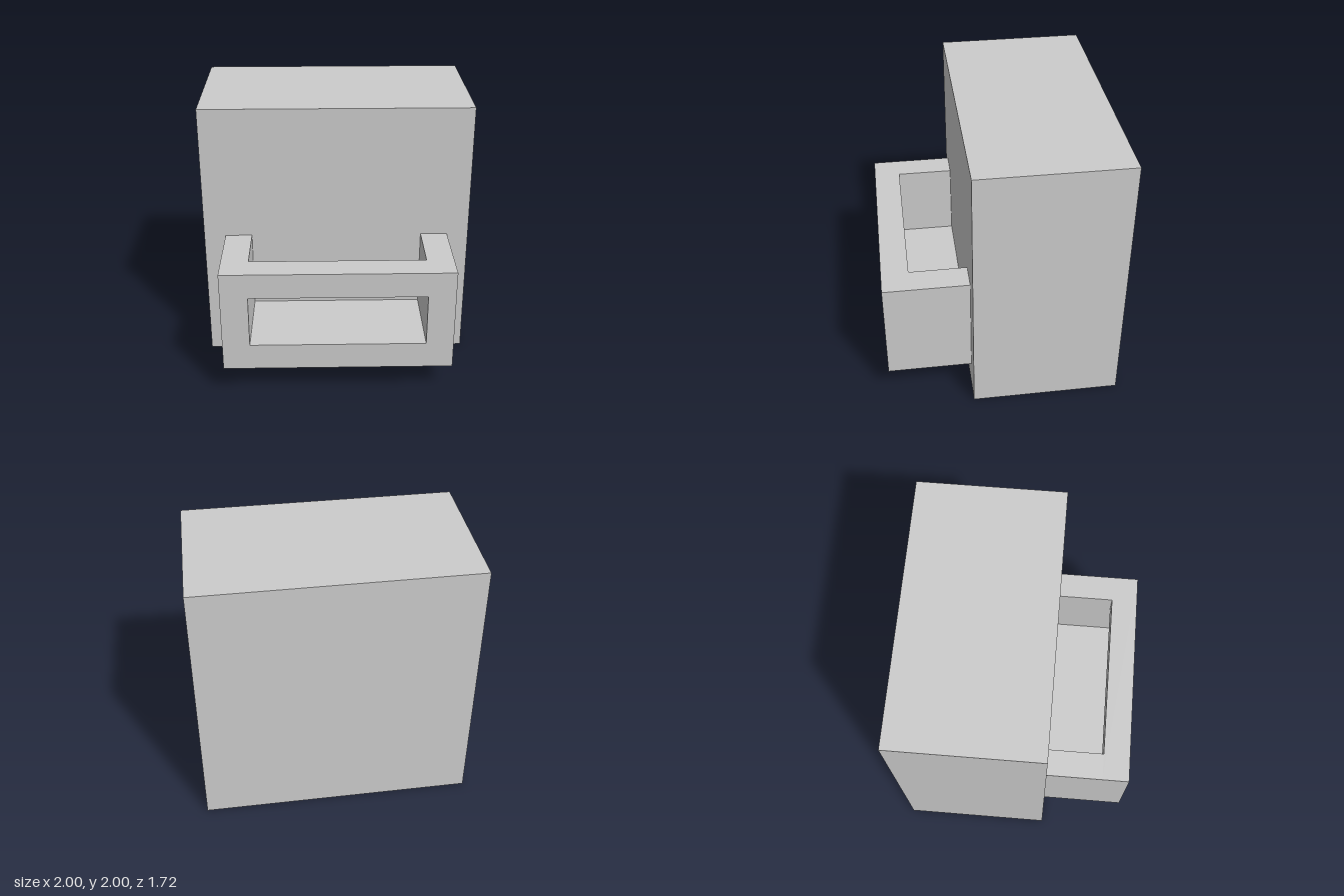
import * as THREE from 'three';

const BACK = -0.86, WALL = 0.235, INNER = 0.66, FRONT = 0.86;

export function createModel() {
  const model = new THREE.Group();
  const material = new THREE.MeshStandardMaterial({ color: 0xcccccc, flatShading: true });

  const add = (name, geometry, x, y, z, parent) => {
    const mesh = new THREE.Mesh(geometry, material);
    mesh.name = name;
    mesh.position.set(x, y, z);
    parent.add(mesh);
  };
  const points = (list) => list.map(([x, y]) => new THREE.Vector2(x, y));
  const extrude = (shape, depth) =>
    new THREE.ExtrudeGeometry(shape, { depth, bevelEnabled: false });

  // Main block
  add('body', new THREE.BoxGeometry(2, 2, WALL - BACK), 0, 1, (WALL + BACK) / 2, model);

  // Open-topped tray on the front
  const tray = new THREE.Group();
  tray.name = 'tray';
  model.add(tray);

  // Floor and both side walls as one U-shaped section
  const channel = new THREE.Shape(points([
    [-0.84, 0.22], [0.84, 0.22], [0.84, 1], [0.64, 1],
    [0.64, 0.42], [-0.64, 0.42], [-0.64, 1], [-0.84, 1],
  ]));
  add('trayFloorAndSides', extrude(channel, INNER - WALL), 0, 0, WALL, tray);

  // Front panel with a window level with the floor
  const panel = new THREE.Shape(points([[-0.84, 0.22], [0.84, 0.22], [0.84, 1], [-0.84, 1]]));
  panel.holes.push(new THREE.Path(points([
    [-0.64, 0.42], [-0.64, 0.81], [0.64, 0.81], [0.64, 0.42],
  ])));
  add('trayFrontPanel', extrude(panel, FRONT - INNER), 0, 0, INNER, tray);

  return model;
}
